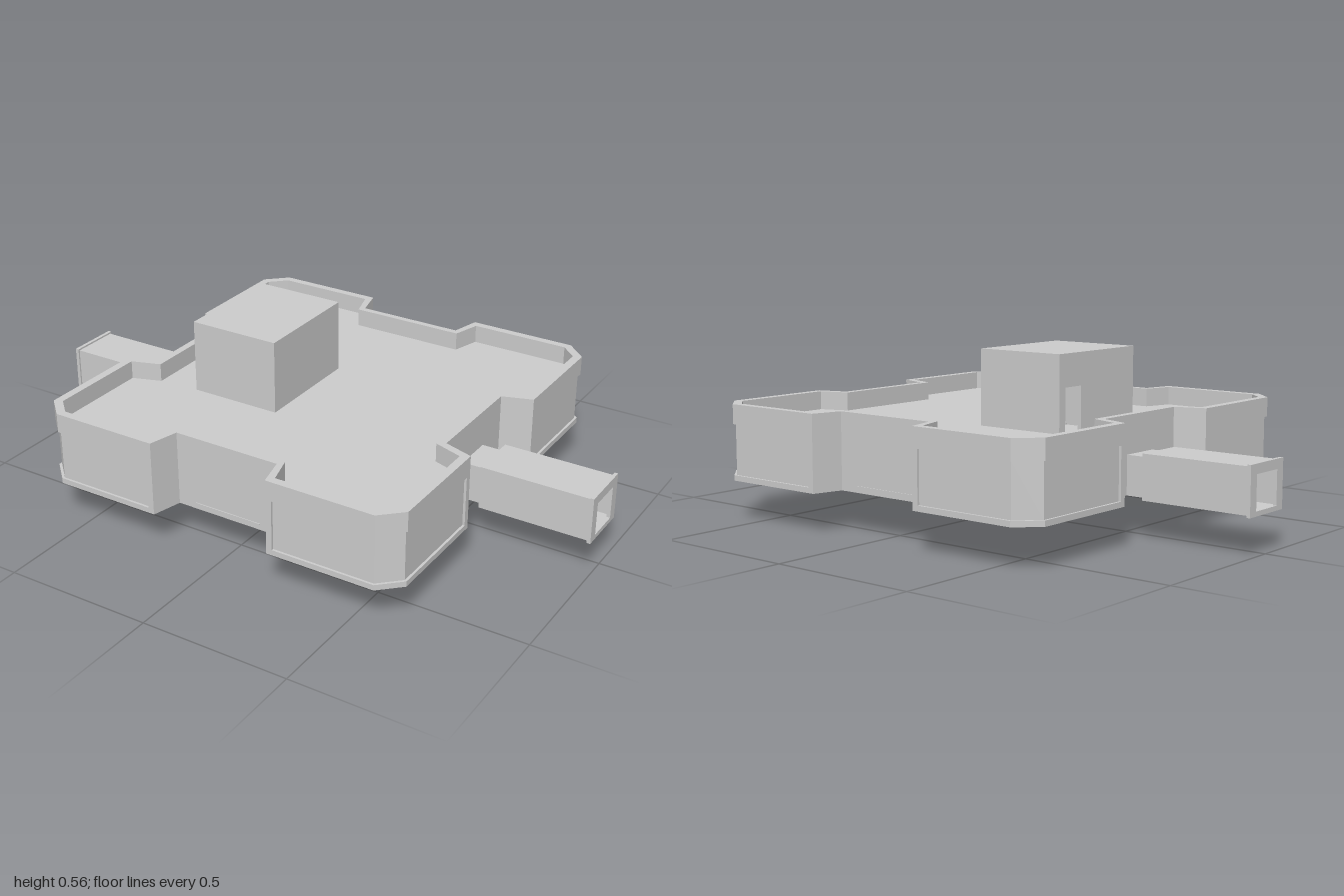
import * as THREE from 'three';

const mat = new THREE.MeshStandardMaterial({ color: 0xcccccc, flatShading: true, side: THREE.DoubleSide });

export function createModel() {
  const model = new THREE.Group();

  const add = (name, geo) => {
    const m = new THREE.Mesh(geo, mat);
    m.name = name;
    model.add(m);
    return m;
  };
  // Box given by its lower and upper corners
  const box = (name, x0, x1, y0, y1, z0, z1) =>
    add(name, new THREE.BoxGeometry(x1 - x0, y1 - y0, z1 - z0)
      .translate((x0 + x1) / 2, (y0 + y1) / 2, (z0 + z1) / 2));
  const points = (list) => list.map(([x, z]) => new THREE.Vector2(x, -z));
  // Upright prism over a plan outline, with holes
  const slab = (name, outline, holes, y0, y1) => {
    const shape = new THREE.Shape(points(outline));
    shape.holes = holes.map((h) => new THREE.Path(points(h)));
    const geo = new THREE.ExtrudeGeometry(shape, { depth: y1 - y0, bevelEnabled: false });
    return add(name, geo.rotateX(-Math.PI / 2).translate(0, y0, 0));
  };
  const rect = (x0, x1, z0, z1) => [[x0, z0], [x1, z0], [x1, z1], [x0, z1]];
  // One quarter of the plan mirrored into a full outline
  const mirrored = (q) => {
    const flip = (sx, sz) => q.map(([x, z]) => [x * sx, z * sz]);
    return [...flip(1, 1), ...flip(1, -1).reverse(), ...flip(-1, -1), ...flip(-1, 1).reverse()];
  };

  const outer = mirrored([[0.185, 0.567], [0.21, 0.667], [0.58, 0.667], [0.65, 0.6], [0.65, 0.22], [0.55, 0.187]]);
  const inner = mirrored([[0.2, 0.545], [0.228, 0.64], [0.568, 0.64], [0.622, 0.588], [0.622, 0.238], [0.525, 0.205]]);
  const recessed = mirrored([[0.185, 0.567], [0.21, 0.667], [0.23, 0.667], [0.23, 0.659], [0.576, 0.659],
    [0.642, 0.596], [0.642, 0.24], [0.65, 0.24], [0.65, 0.22], [0.55, 0.187]]);

  // Outer wall: base, recessed panel band, parapet
  slab('wallBase', outer, [inner], 0.13, 0.148);
  slab('wallPanels', recessed, [inner], 0.148, 0.315);
  slab('parapet', outer, [inner], 0.315, 0.38);

  // Floor and roof, both open over the stair shaft
  const hx0 = -0.385, hx1 = -0.07, hz = 0.195, t = 0.012;
  const shaft = rect(hx0 + t, hx1 - t, -hz + t, hz - t);
  slab('floor', inner, [shaft, rect(-0.045, 0.1, -0.06, 0.13)], 0.13, 0.142);
  slab('roof', inner, [shaft], 0.303, 0.318);
  box('hatchRecess', -0.045, 0.1, 0.16, 0.165, -0.06, 0.13);

  // Thin trim under the floor
  slab('floorTrim', rect(-0.06, 0.3, -0.35, 0.15), [rect(-0.05, 0.29, -0.34, 0.14)], 0.125, 0.131);
  box('floorTrimBar', -0.05, 0.29, 0.125, 0.131, -0.13, -0.12);

  // Stair house with a doorway in its -x wall
  const top = 0.565;
  box('houseRoof', hx0, hx1, top - t, top, -hz, hz);
  box('houseWallLeft', hx1 - t, hx1, 0.13, top - t, -hz, hz);
  for (const s of [-1, 1]) {
    const a = s * hz, b = s * (hz - t);
    box('houseSideWall', hx0 + t, hx1 - t, 0.13, top - t, Math.min(a, b), Math.max(a, b));
  }
  box('doorWallBelow', hx0, hx0 + t, 0.13, 0.318, -hz, hz);
  box('doorWallNarrow', hx0, hx0 + t, 0.318, 0.46, -hz, -0.165);
  box('doorWallWide', hx0, hx0 + t, 0.318, 0.46, -0.085, hz);
  box('doorLintel', hx0, hx0 + t, 0.46, top - t, -hz, hz);

  // Stair flights made of overlapping steps
  const flight = (name, x0, x1, y0, y1, z0, z1, n) => {
    const run = (x1 - x0) / n, rise = (y1 - y0) / n;
    for (let i = 0; i < n; i++) {
      const a = x0 + run * i, b = a + run, y = y0 + rise * i;
      box(name, Math.min(a, b), Math.max(a, b), y, y + rise * 1.4, z0, z1);
    }
  };
  flight('lowerStep', -0.19, -0.37, 0.004, 0.13, -0.175, -0.015, 10);
  flight('upperStep', -0.32, -0.09, 0.13, 0.3, 0.02, 0.18, 12);
  box('stairLanding', -0.373, -0.32, 0.13, 0.142, -0.18, 0.18);
  box('doorLanding', -0.373, -0.22, 0.303, 0.318, -0.183, 0);

  // Triangular side plates of the lower flight
  for (const z of [-0.183, -0.015]) {
    const tri = new THREE.Shape([[-0.37, 0.13], [-0.19, 0], [-0.19, 0.13]].map(([x, y]) => new THREE.Vector2(x, y)));
    add('stairSidePlate', new THREE.ExtrudeGeometry(tri, { depth: 0.008, bevelEnabled: false }).translate(0, 0, z));
  }

  // Square tube along x, from a wall section with an opening
  const tube = (name, s, x0, x1, w, y0, y1, iw, iy0, iy1) => {
    const [a, b] = s > 0 ? [x0, x1] : [-x1, -x0];
    box(name + 'Bottom', a, b, y0, iy0, -w, w);
    box(name + 'Top', a, b, iy1, y1, -w, w);
    box(name + 'Side', a, b, iy0, iy1, -w, -iw);
    box(name + 'Side', a, b, iy0, iy1, iw, w);
  };

  // Side passages: neck, main tube, end flange
  for (const s of [1, -1]) {
    tube('passageNeck', s, 0.53, 0.62, 0.068, 0.13, 0.257, 0.055, 0.142, 0.245);
    tube('passage', s, 0.62, 0.99, 0.086, 0.125, 0.27, 0.074, 0.135, 0.258);
    tube('passageFlange', s, 0.988, 1, 0.092, 0.12, 0.276, 0.058, 0.135, 0.245);
    const [a, b] = s > 0 ? [0.62, 0.63] : [-0.63, -0.62];
    slabEnd(a, b);
  }
  // Inner shoulder where the passage narrows to its neck
  function slabEnd(a, b) {
    box('passageShoulder', a, b, 0.245, 0.262, -0.08, 0.08);
    for (const z of [-0.08, 0.055]) box('passageShoulder', a, b, 0.13, 0.245, z, z + 0.025);
  }

  // Thin seam strips on the wall of each notch
  for (const s of [-1, 1]) box('notchSeam', -0.12, 0.12, 0.148, 0.152, s * 0.568 - 0.002, s * 0.568 + 0.002);

  return model;
}
